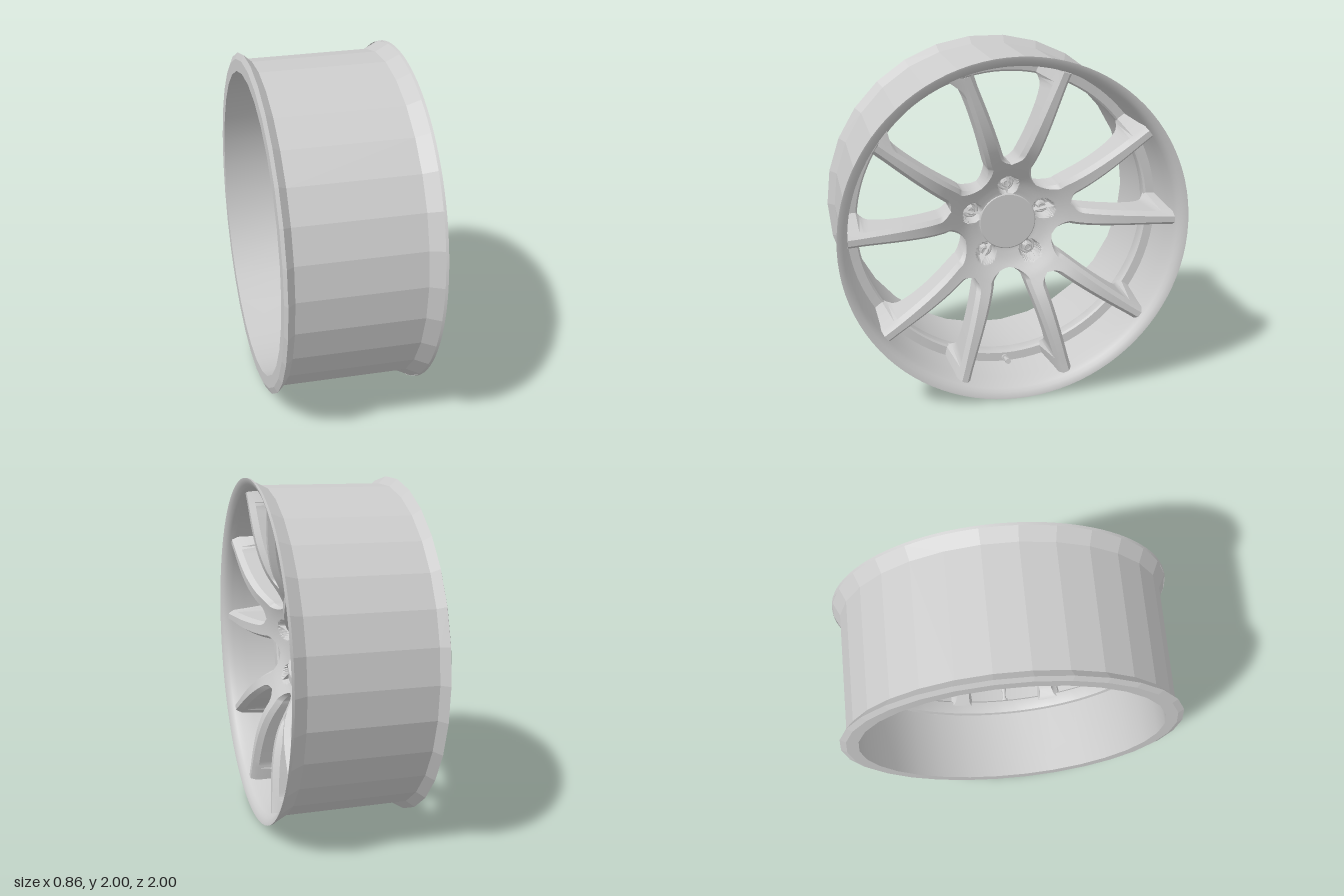
import * as THREE from 'three';
import { mergeGeometries, toCreasedNormals } from 'three/addons/utils/BufferGeometryUtils.js';

const grey = new THREE.MeshStandardMaterial({ color: 0xcccccc, side: THREE.DoubleSide });
const faceted = new THREE.MeshStandardMaterial({ color: 0xcccccc, side: THREE.DoubleSide, flatShading: true });
const rad = THREE.MathUtils.degToRad;
const clamp = THREE.MathUtils.clamp;

// surface of revolution about the axle (x); points are [x, radius]
function lathe(name, points, segments, material = grey) {
  let g = new THREE.LatheGeometry(points.map(([x, r]) => new THREE.Vector2(r, x)), segments);
  g.rotateZ(-Math.PI / 2);
  g.deleteAttribute('uv');
  g = toCreasedNormals(g, 0.5);
  const m = new THREE.Mesh(g, material);
  m.name = name;
  return m;
}

// smooth profile through [radius, x] points
function profile(points) {
  return (r) => {
    let i = 0;
    while (i < points.length - 2 && r > points[i + 1][0]) i++;
    const [r0, x0] = points[i], [r1, x1] = points[i + 1];
    const a = points[Math.max(i - 1, 0)], b = points[Math.min(i + 2, points.length - 1)];
    const h = r1 - r0, t = clamp((r - r0) / h, 0, 1);
    const m0 = (x1 - a[1]) / (r1 - a[0]) * h, m1 = (b[1] - x0) / (b[0] - r0) * h;
    return x0 * (2 * t ** 3 - 3 * t * t + 1) + m0 * (t ** 3 - 2 * t * t + t)
      + x1 * (3 * t * t - 2 * t ** 3) + m1 * (t ** 3 - t * t);
  };
}
// spokes arch forward, then dive into a bowl around the centre cap
const frontX = profile([[0.14, 0.155], [0.18, 0.16], [0.25, 0.185], [0.35, 0.25], [0.48, 0.318], [0.65, 0.36], [0.94, 0.388]]);
const backX = profile([[0.14, 0.03], [0.27, 0.03], [0.4, 0.095], [0.55, 0.155], [0.7, 0.17], [0.8, 0.135], [0.87, 0.04], [0.94, 0.02]]);

const BOLT_R = 0.22, COLS = 18;
const round = (t) => Math.sqrt(1 - (1 - clamp(t, 0, 1)) ** 2);

// closed cross-section of one 36 degree half of a forked spoke at radius r
function section(r, sign) {
  const fA = round((r - 0.37) / 0.05), fB = round((r - 0.27) / 0.09);
  const centre = rad(12 + 5 * Math.sqrt(clamp((r - 0.36) / 0.57, 0, 1)));
  const half = 0.053 - 0.014 * clamp((r - 0.36) / 0.5, 0, 1);
  const a = fA * (centre - half / r);
  const b = rad(36) + fB * (centre + half / r - rad(36));
  const x = frontX(r), back = backX(r);
  const a1 = a + fA * 0.022 / r, b1 = b - fB * 0.022 / r;
  const at = (t, px) => [px, r * Math.cos(t), sign * r * Math.sin(t)];
  const loop = [];
  for (let j = 0; j <= COLS; j++) {
    const t = a1 + (b1 - a1) * j / COLS;
    // bolt pocket sunk into the hub face
    const d = Math.hypot(r * Math.cos(t) - BOLT_R, r * Math.sin(t));
    loop.push(at(t, THREE.MathUtils.lerp(0.09, x, THREE.MathUtils.smoothstep(d, 0.045, 0.062))));
  }
  // windows get rounded corners where the spoke meets the rim ring
  const flare = 0.035 * clamp((r - 0.82) / 0.05, 0, 1) ** 2 / r;
  const bBack = b + flare * fB, aBack = a - flare * fA, shoulder = Math.min(back + 0.05, x - 0.04);
  loop.push(at(b, x - 0.035 * fB), at(bBack, shoulder), at(bBack, back));
  loop.push(at(aBack, back), at(aBack, shoulder), at(a, x - 0.035 * fA));
  return loop;
}

function halfFork(sign) {
  const radii = [];
  for (let r = 0.14; r < 0.445; r += 0.008) radii.push(r);
  for (let i = 0; i <= 22; i++) radii.push(0.45 + 0.485 * i / 22);
  const pos = [], idx = [];
  radii.forEach((r) => section(r, sign).forEach((p) => pos.push(...p)));
  const n = pos.length / 3 / radii.length;
  for (let i = 0; i < radii.length - 1; i++) for (let j = 0; j < n; j++) {
    const k = (j + 1) % n;
    const p = i * n + j, q = (i + 1) * n + j, s = (i + 1) * n + k, t = i * n + k;
    if (sign > 0) idx.push(p, q, s, p, s, t);
    else idx.push(p, s, q, p, t, s);
  }
  const g = new THREE.BufferGeometry();
  g.setAttribute('position', new THREE.Float32BufferAttribute(pos, 3));
  g.setIndex(idx);
  return g;
}

export function createModel() {
  const model = new THREE.Group();
  const wheel = new THREE.Group();
  wheel.name = 'wheel';
  wheel.position.y = 1;
  model.add(wheel);

  // barrel: faceted outside with a low-sided rear flange and thick wall
  wheel.add(lathe('barrelOutside', [[-0.43, 0.885], [-0.43, 0.955], [-0.415, 0.99], [-0.37, 0.95],
    [0.34, 0.957], [0.42, 0.998]], 30, faceted));
  wheel.add(lathe('barrelInside', [[-0.01, 0.885], [-0.43, 0.885]], 30));

  // smooth front lip, dish and the inner ring that carries the spokes
  wheel.add(lathe('frontLip', [[0.415, 0.997], [0.43, 1], [0.428, 0.99], [0.415, 0.965], [0.395, 0.948],
    [0.36, 0.938], [0.28, 0.929], [0.09, 0.92]], 96));
  wheel.add(lathe('spokeRing', [[0.09, 0.925], [0.085, 0.87], [0.075, 0.86], [0.01, 0.86], [0, 0.865], [-0.005, 0.89]], 96));

  // five forked spokes, each with its part of the hub face
  const fork = toCreasedNormals(mergeGeometries([halfFork(1), halfFork(-1)]), 0.55);
  const bolt = new THREE.CylinderGeometry(0.028, 0.028, 0.055, 6).rotateZ(-Math.PI / 2);
  const washer = new THREE.TorusGeometry(0.04, 0.009, 8, 28).rotateY(Math.PI / 2);
  const socket = new THREE.TorusGeometry(0.018, 0.006, 6, 18).rotateY(Math.PI / 2);
  const stud = new THREE.BoxGeometry(0.06, 0.06, 0.06);
  for (let i = 0; i < 5; i++) {
    const arm = new THREE.Group();
    arm.name = 'spokeFork';
    arm.rotation.x = i * Math.PI * 2 / 5;
    const put = (name, g, x, r, mat = grey) => {
      const m = new THREE.Mesh(g, mat);
      m.name = name;
      m.position.set(x, r, 0);
      arm.add(m);
    };
    put('spokePair', fork, 0, 0);
    put('wheelBolt', bolt, 0.105, BOLT_R, faceted);
    put('boltWasher', washer, 0.095, BOLT_R);
    put('boltSocket', socket, 0.132, BOLT_R);
    put('boltEnd', stud, 0, 0.19, faceted);
    wheel.add(arm);
  }

  // centre cap and the hub drum behind it
  wheel.add(lathe('centreCap', [[0.14, 0.166], [0.157, 0.166], [0.161, 0.16], [0.161, 0]], 48));
  wheel.add(lathe('hubDrum', [[0.1, 0], [0.1, 0.13], [0.005, 0.135], [0, 0.14], [0, 0.245], [0.005, 0.25], [0.08, 0.25]], 48));

  // valve stem at the foot of the dish
  const valve = new THREE.Group();
  valve.name = 'valveStem';
  valve.position.set(0.09, -0.9, 0);
  [[0.02, 0.03, 0], [0.011, 0.09, 0.045], [0.016, 0.035, 0.08]].forEach(([r, len, x]) => {
    const m = new THREE.Mesh(new THREE.CylinderGeometry(r, r, len, 16).rotateZ(-Math.PI / 2), grey);
    m.name = 'valvePart';
    m.position.x = x;
    valve.add(m);
  });
  valve.rotation.z = 0.2;
  wheel.add(valve);
  return model;
}
